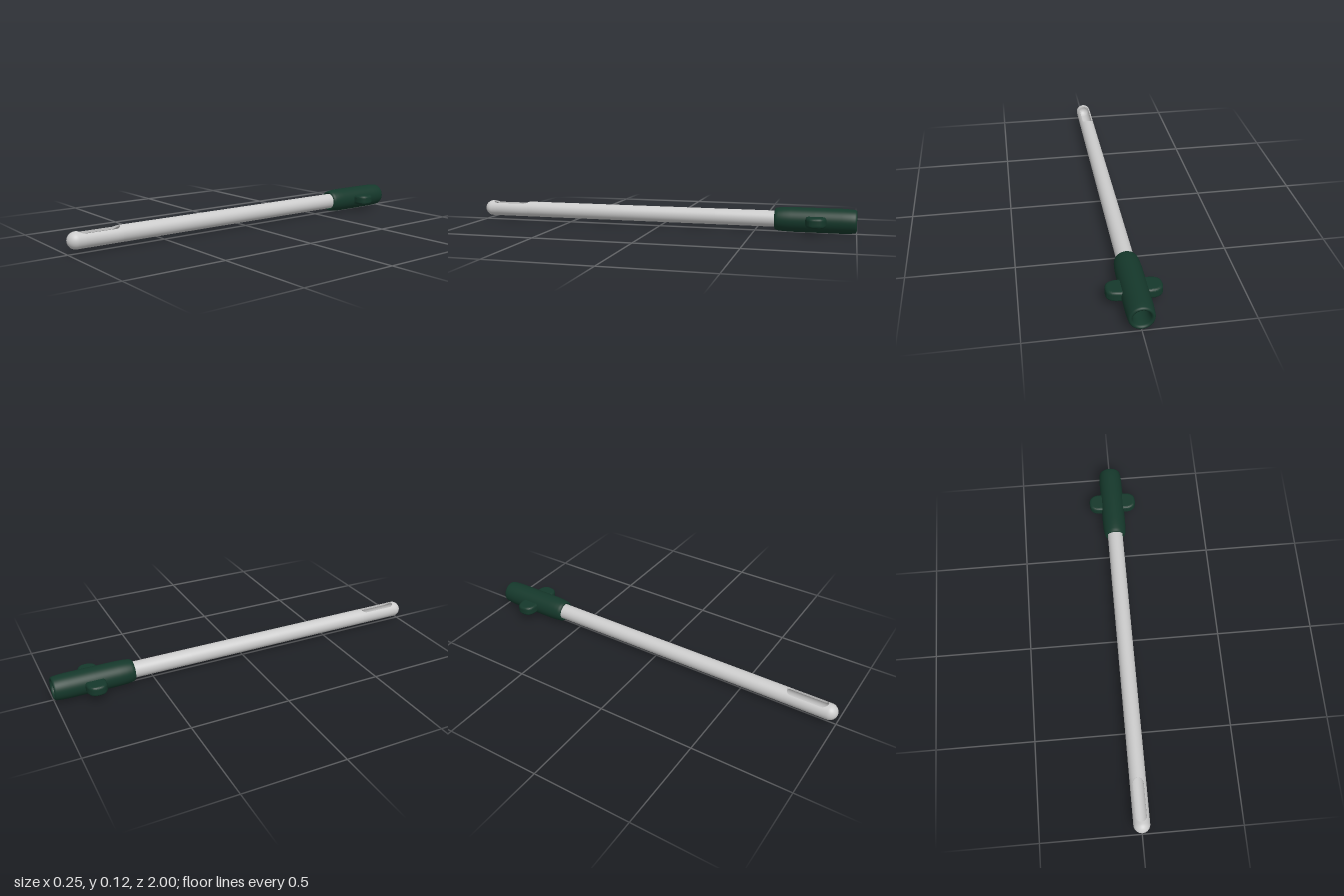
import * as THREE from 'three';
import { mergeVertices } from 'three/addons/utils/BufferGeometryUtils.js';

const AXIS_Y = 0.063, OUTER = 0.041, INNER = 0.033;
const SLOT_W = 0.027, SLOT_A = 0.767, SLOT_B = 0.923; // slot half width and its end-arc centres
const TIP = 0.959; // centre of the domed tip

// Smooth surface from a grid of points
function gridSurface(rows, cols, point, flip = false) {
  const pos = [], idx = [];
  for (let i = 0; i <= rows; i++)
    for (let j = 0; j <= cols; j++) pos.push(...point(i, j / cols));
  for (let i = 0; i < rows; i++)
    for (let j = 0; j < cols; j++) {
      const a = i * (cols + 1) + j, b = a + cols + 1;
      if (flip) idx.push(a, a + 1, b, b, a + 1, b + 1);
      else idx.push(a, b, a + 1, b, b + 1, a + 1);
    }
  let g = new THREE.BufferGeometry();
  g.setAttribute('position', new THREE.Float32BufferAttribute(pos, 3));
  g.setIndex(idx);
  g = mergeVertices(g, 1e-6);
  g.computeVertexNormals();
  return g;
}

// Stations along the slot: rounded ends, straight middle
const slotRows = [];
for (let i = 0; i <= 12; i++) {
  const t = (i / 12) * Math.PI / 2;
  slotRows.push({ z: SLOT_A - SLOT_W * Math.cos(t), w: i ? SLOT_W * Math.sin(t) : 0 });
}
for (let i = 0; i <= 12; i++) {
  const t = (i / 12) * Math.PI / 2;
  slotRows.push({ z: SLOT_B + SLOT_W * Math.sin(t), w: i < 12 ? SLOT_W * Math.cos(t) : 0 });
}

// Tube wall of radius r, opened at the slot and closed by a dome
function wall(r, flip) {
  const rows = [-0.7, -0.3, 0.2, 0.6].map((z) => ({ z, w: 0, r }));
  slotRows.forEach((s) => rows.push({ ...s, r }));
  for (let i = 0; i <= 14; i++) {
    const t = (i / 14) * Math.PI / 2;
    rows.push({ z: TIP + r * Math.sin(t), w: 0, r: r * Math.cos(t) });
  }
  return gridSurface(rows.length - 1, 56, (i, u) => {
    const s = rows[i], open = s.w ? Math.asin(s.w / s.r) : 0;
    const t = open + u * 2 * (Math.PI - open);
    return [s.r * Math.sin(t), s.r * Math.cos(t), s.z];
  }, flip);
}

export function createModel() {
  const model = new THREE.Group();
  const grey = new THREE.MeshStandardMaterial({ color: 0xcccccc, side: THREE.DoubleSide });
  const green = new THREE.MeshStandardMaterial({ color: 0x15382b });
  const add = (name, geometry, material) => {
    const m = new THREE.Mesh(geometry, material);
    m.name = name;
    m.position.y = AXIS_Y;
    model.add(m);
    return m;
  };

  // Hollow tube with domed tip
  add('tubeOuterWall', wall(OUTER, false), grey);
  add('tubeInnerWall', wall(INNER, true), grey);

  // Upright walls around the slot
  for (const side of [-1, 1])
    add(side > 0 ? 'slotRimLeft' : 'slotRimRight', gridSurface(slotRows.length - 1, 1, (i, u) => {
      const { z, w } = slotRows[i], r = u ? INNER : OUTER;
      return [side * w, Math.sqrt(r * r - w * w), z];
    }, side < 0), grey);

  // Hub: tapered bore, rounded mouth, body and rounded front lip
  const profile = [
    [0.033, -0.7], [0.034, -0.85], [0.037, -0.96], [0.04, -0.99], [0.044, -0.998],
    [0.05, -1], [0.055, -0.997], [0.058, -0.99], [0.06, -0.97], [0.062, -0.93],
    [0.062, -0.8], [0.062, -0.68], [0.0605, -0.645], [0.058, -0.62], [0.055, -0.607],
    [0.051, -0.601], [0.046, -0.6], [0.044, -0.603], [0.041, -0.61],
  ].map(([r, z]) => new THREE.Vector2(r, z));
  const hub = add('hub', new THREE.LatheGeometry(profile, 56), green);
  hub.rotation.x = Math.PI / 2;

  // Side wings: tapered lugs with softened edges
  const B = 0.014;
  const s = new THREE.Shape();
  s.moveTo(0.05, -0.036);
  s.lineTo(0.078, -0.036);
  s.quadraticCurveTo(0.1, -0.034, 0.109, -0.022);
  s.quadraticCurveTo(0.113, -0.015, 0.113, 0);
  s.quadraticCurveTo(0.113, 0.015, 0.109, 0.022);
  s.quadraticCurveTo(0.1, 0.034, 0.078, 0.036);
  s.lineTo(0.05, 0.036);
  s.closePath();
  const wing = new THREE.ExtrudeGeometry(s, {
    depth: 0.022, bevelThickness: B, bevelSize: B, bevelSegments: 5, curveSegments: 8,
  });
  wing.translate(0, 0, -0.011);
  wing.rotateX(Math.PI / 2);
  wing.translate(0, 0, -0.805);
  add('leftWing', wing, green);
  add('rightWing', wing, green).rotation.z = Math.PI;

  return model;
}
